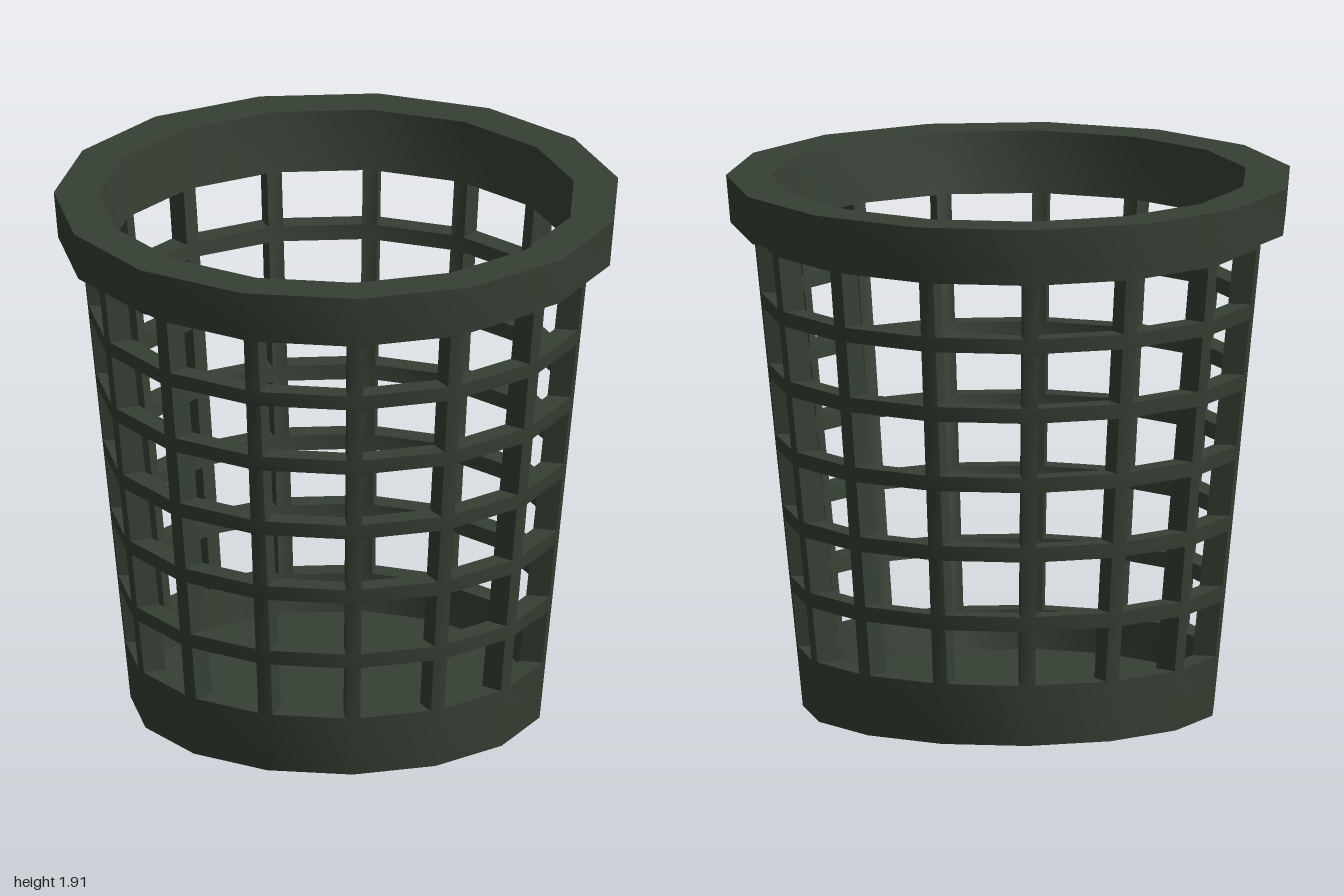
import * as THREE from 'three';
import { mergeGeometries, toCreasedNormals } from 'three/addons/utils/BufferGeometryUtils.js';

const SIDES = 15;
const STEP = (Math.PI * 2) / SIDES;
const CREASE = 0.6;

// Tapered wall radii at height y
const outer = (y) => 0.734 + 0.102 * y;
const inner = (y) => 0.651 + 0.102 * y;

// Heights of the solid bands around the lattice
const BASE_TOP = 0.22, RIM_LOW = 1.69, FLOOR = 0.08;
const HOOP_HALF = 0.027;
const HOOPS = [0.445, 0.7, 0.955, 1.21, 1.465];

// Faceted solid of revolution, with a corner pointing to the back
function turned(profile) {
  const points = profile.map(([r, y]) => new THREE.Vector2(r, y));
  const lathe = new THREE.LatheGeometry(points, SIDES, Math.PI);
  return toCreasedNormals(lathe.toNonIndexed(), CREASE);
}

// Bent cross-section of a corner post: a chevron following the two walls
function postSection(y, phi) {
  const w = 0.027, dip = w * Math.tan(STEP / 2);
  const ro = outer(y), ri = inner(y);
  const local = [[-w, ro - dip], [0, ro], [w, ro - dip], [w, ri - dip], [0, ri], [-w, ri - dip]];
  const c = Math.cos(phi), s = Math.sin(phi);
  return local.map(([t, r]) => [t * c + r * s, y, r * c - t * s]);
}

// One stretch of post between two bands
function postPiece(y0, y1, phi) {
  const a = postSection(y0, phi), b = postSection(y1, phi);
  const pos = [];
  for (let i = 0; i < a.length; i++) {
    const j = (i + 1) % a.length;
    pos.push(...a[i], ...a[j], ...b[j], ...a[i], ...b[j], ...b[i]);
  }
  const g = new THREE.BufferGeometry();
  g.setAttribute('position', new THREE.Float32BufferAttribute(pos, 3));
  return toCreasedNormals(g, CREASE);
}

export function createModel() {
  const basket = new THREE.Group();
  basket.name = 'wasteBasket';
  const plastic = new THREE.MeshStandardMaterial({ color: 0x364034 });
  plastic.name = 'dark green plastic';

  const add = (name, geometry) => {
    const mesh = new THREE.Mesh(geometry, plastic);
    mesh.name = name;
    mesh.position.z = 0.011;
    basket.add(mesh);
  };

  // Solid cup at the bottom with its floor
  add('base', turned([
    [0, 0], [outer(0), 0], [outer(BASE_TOP), BASE_TOP],
    [inner(BASE_TOP), BASE_TOP], [inner(FLOOR), FLOOR], [0, FLOOR],
  ]));

  // Overhanging rim with the short wall below it
  add('rim', turned([
    [inner(RIM_LOW), RIM_LOW], [outer(RIM_LOW), RIM_LOW], [outer(1.74), 1.74],
    [0.99, 1.74], [1.0055, 1.91], [inner(1.91), 1.91], [inner(RIM_LOW), RIM_LOW],
  ]));

  // Horizontal hoops
  HOOPS.forEach((y, i) => {
    const lo = y - HOOP_HALF, hi = y + HOOP_HALF;
    add(`hoop${i + 1}`, turned([
      [inner(lo), lo], [outer(lo), lo], [outer(hi), hi], [inner(hi), hi], [inner(lo), lo],
    ]));
  });

  // Upright posts at every corner, filling the gaps between bands
  const starts = [BASE_TOP, ...HOOPS.map((y) => y + HOOP_HALF)];
  const ends = [...HOOPS.map((y) => y - HOOP_HALF), RIM_LOW];
  for (let k = 0; k < SIDES; k++) {
    const phi = Math.PI + k * STEP;
    add(`post${k + 1}`, mergeGeometries(starts.map((y, i) => postPiece(y, ends[i], phi))));
  }

  return basket;
}
